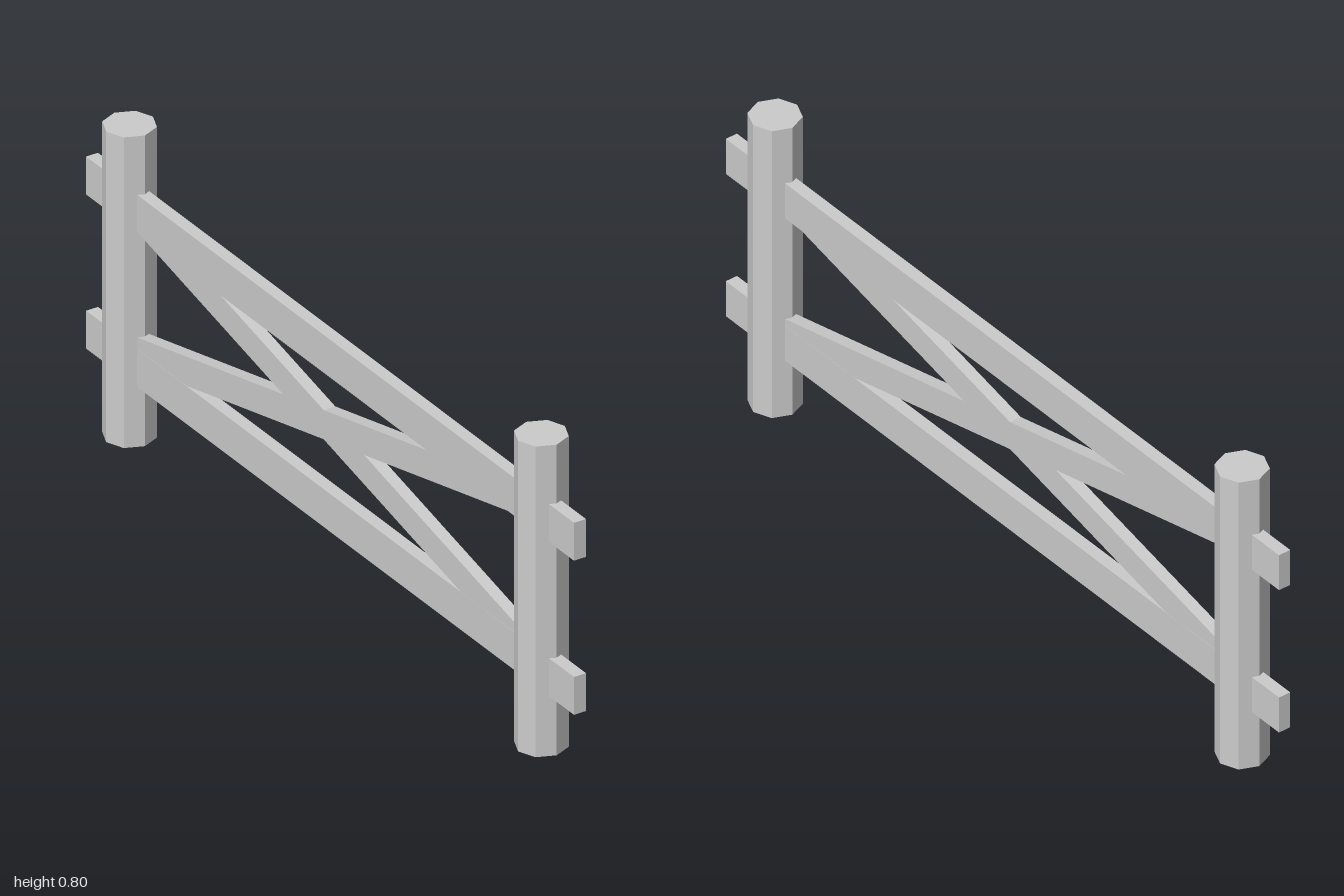
import * as THREE from 'three';

export function createModel() {
  const group = new THREE.Group();
  const material = new THREE.MeshStandardMaterial({ color: 0xcccccc, flatShading: true });

  function add(name, geometry, y, z, tilt = 0) {
    const mesh = new THREE.Mesh(geometry, material);
    mesh.name = name;
    mesh.position.set(0, y, z);
    mesh.rotation.x = tilt;
    group.add(mesh);
  }

  // Octagonal posts
  const height = 0.796;
  const post = new THREE.CylinderGeometry(0.0625, 0.0625, height, 8);
  add('frontPost', post, height / 2, 0.842);
  add('backPost', post, height / 2, -0.846);

  // Horizontal rails running through both posts
  const rail = new THREE.BoxGeometry(0.032, 0.097, 2);
  add('lowerRail', rail, 0.202, 0);
  add('upperRail', rail, 0.597, 0);

  // Crossed braces, a hair thinner than the rails, ending inside the posts
  const brace = new THREE.BoxGeometry(0.031, 0.073, 1.7);
  const tilt = Math.atan(0.226);
  add('risingBrace', brace, 0.415, -0.027, -tilt);
  add('fallingBrace', brace, 0.415, -0.027, tilt);

  return group;
}
